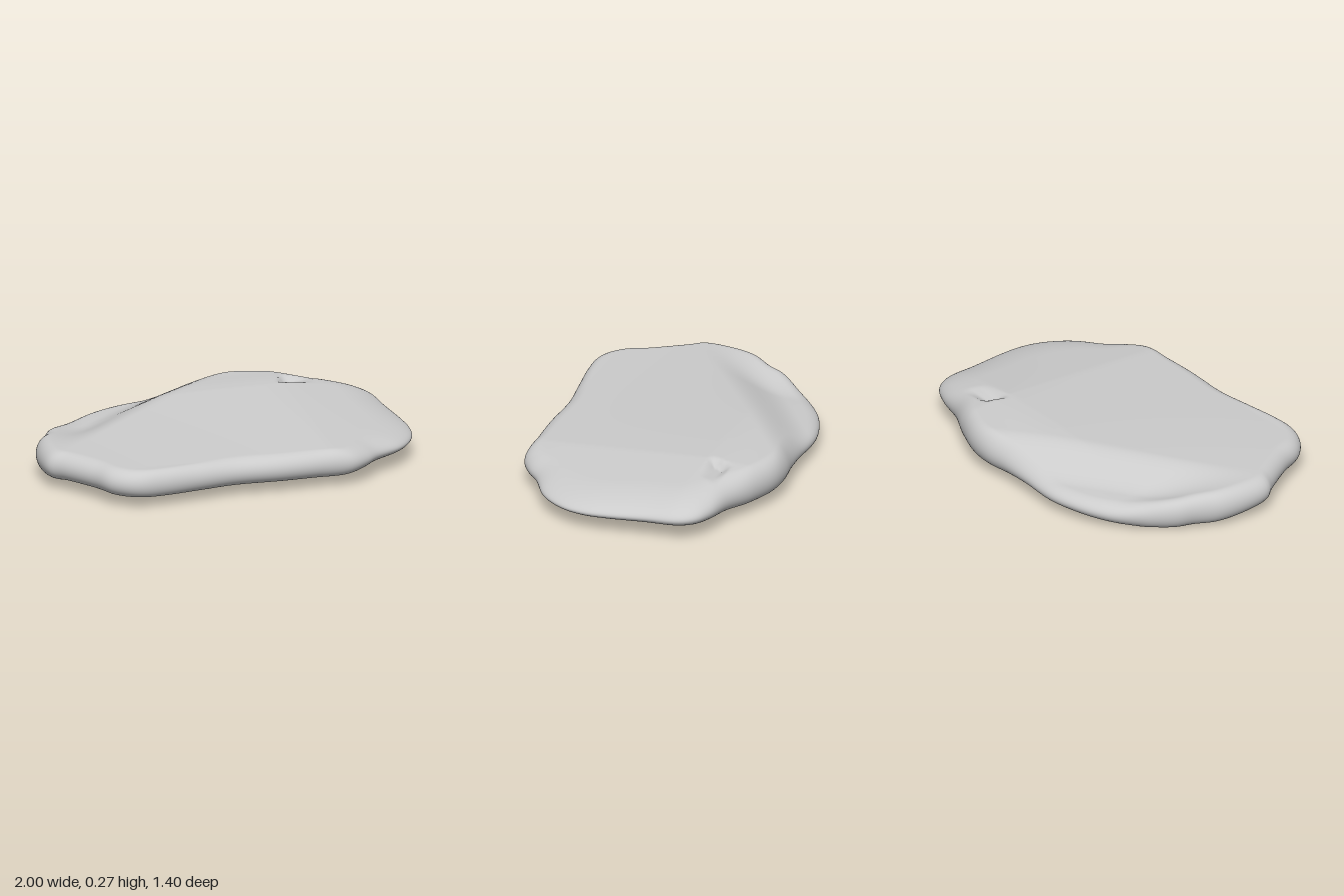
import * as THREE from 'three';

// Plan outline of the slab as x, z pairs, from the left end round the back
const OUTLINE = [
  [-0.97, -0.06], [-0.9, -0.18], [-0.86, -0.27], [-0.75, -0.4], [-0.63, -0.52], [-0.5, -0.6],
  [-0.31, -0.66], [-0.08, -0.665], [0.08, -0.68], [0.22, -0.7], [0.34, -0.69], [0.5, -0.63],
  [0.65, -0.555], [0.81, -0.51], [0.9, -0.46], [0.95, -0.38], [0.97, -0.2], [0.995, 0],
  [1, 0.12], [0.98, 0.23], [0.93, 0.33], [0.86, 0.41], [0.72, 0.5], [0.64, 0.575],
  [0.55, 0.63], [0.37, 0.64], [0.17, 0.65], [-0.1, 0.645], [-0.3, 0.67], [-0.5, 0.695],
  [-0.62, 0.695], [-0.7, 0.665], [-0.77, 0.6], [-0.82, 0.49], [-0.86, 0.42], [-0.91, 0.34],
  [-0.95, 0.28], [-0.99, 0.23], [-1, 0.13],
];

const { smoothstep, clamp } = THREE.MathUtils;

// Upper face: swells towards the back, falls off to +x and past a slanting ridge at the back -x corner
function topHeight(x, z) {
  const rise = clamp((0.6 - z) / 0.95, 0, 1) - 0.15 * smoothstep(-z, 0.4, 0.65);
  const across = Math.max(0, 1 - 0.55 * (x - 0.3) ** 2);
  const rightFall = 0.1 * Math.max(0, x - 0.45);
  const pastRidge = -0.6 * (x + 0.49) - 0.8 * (z + 0.08);
  const cornerFall = 0.1 * smoothstep(pastRidge, 0, 0.3) * smoothstep(x, -1, -0.6);
  return 0.2 + 0.068 * rise * across - rightFall - cornerFall;
}

// Lower face: flat, with a shallow keel under the back -x corner
function bottomHeight(x, z) {
  const along = Math.sin(clamp((0.25 - z) / 0.62, 0, 1) * Math.PI / 2);
  const behind = 0.75 * clamp((-0.38 - z) / 0.25, 0, 1);
  const across = 1 - smoothstep(x, -0.65, 0.25);
  return 0.052 - 0.052 * (along - behind) * across;
}

// Small wedge-shaped chip: a steep wall and a floor rising towards +x
function chipDepth(x, z) {
  const dz = z + 0.43;
  const a = (x - 0.45 + dz * 0.44) / 0.2;
  if (a < 0 || a > 1) return 0;
  return 0.035 * Math.min(a / 0.2, (1 - a) / 0.8) * clamp(1.5 - Math.abs(dz) / 0.045, 0, 1);
}

function slabGeometry(segments = 240, rings = 72) {
  const curve = new THREE.CatmullRomCurve3(
    OUTLINE.map(([x, z]) => new THREE.Vector3(x, 0, z)), true, 'centripetal');
  const rim = curve.getSpacedPoints(segments).slice(0, segments);
  const positions = [];
  const index = [];

  // Rings run from the top centre, over the rounded rim, to the bottom centre
  for (let r = 0; r <= rings * 2; r++) {
    const scale = Math.sin((r / rings) * Math.PI / 2);
    const upper = r <= rings;
    for (const p of rim) {
      const x = p.x * scale;
      const z = p.z * scale;
      const top = topHeight(x, z);
      const bottom = bottomHeight(x, z);
      const middle = (top + bottom) / 2;
      // The rim is blunt all round but tapers to a thin edge at the +x end
      const radius = 0.08 + 0.16 * smoothstep(p.x, 0.5, 1);
      const inset = clamp((1 - scale) * p.length() / radius, 0, 1);
      const bulge = Math.sqrt(1 - (1 - inset) ** 2);
      const face = upper ? top - chipDepth(x, z) : bottom;
      positions.push(x, middle + (face - middle) * bulge, z);
    }
  }
  // Join neighbouring rings; the two centre rings collapse to single points
  for (let r = 0; r < rings * 2; r++) {
    for (let i = 0; i < segments; i++) {
      const a = r * segments + i;
      const b = r * segments + (i + 1) % segments;
      const c = a + segments;
      const d = b + segments;
      if (r > 0) index.push(a, b, c);
      if (r < rings * 2 - 1) index.push(b, d, c);
    }
  }

  const geometry = new THREE.BufferGeometry();
  geometry.setAttribute('position', new THREE.Float32BufferAttribute(positions, 3));
  geometry.setIndex(index);
  geometry.computeVertexNormals();
  return geometry;
}

export function createModel() {
  const group = new THREE.Group();
  group.name = 'flatStone';
  const material = new THREE.MeshStandardMaterial({ color: 0xcccccc });
  const slab = new THREE.Mesh(slabGeometry(), material);
  slab.name = 'stoneSlab';
  group.add(slab);
  return group;
}
